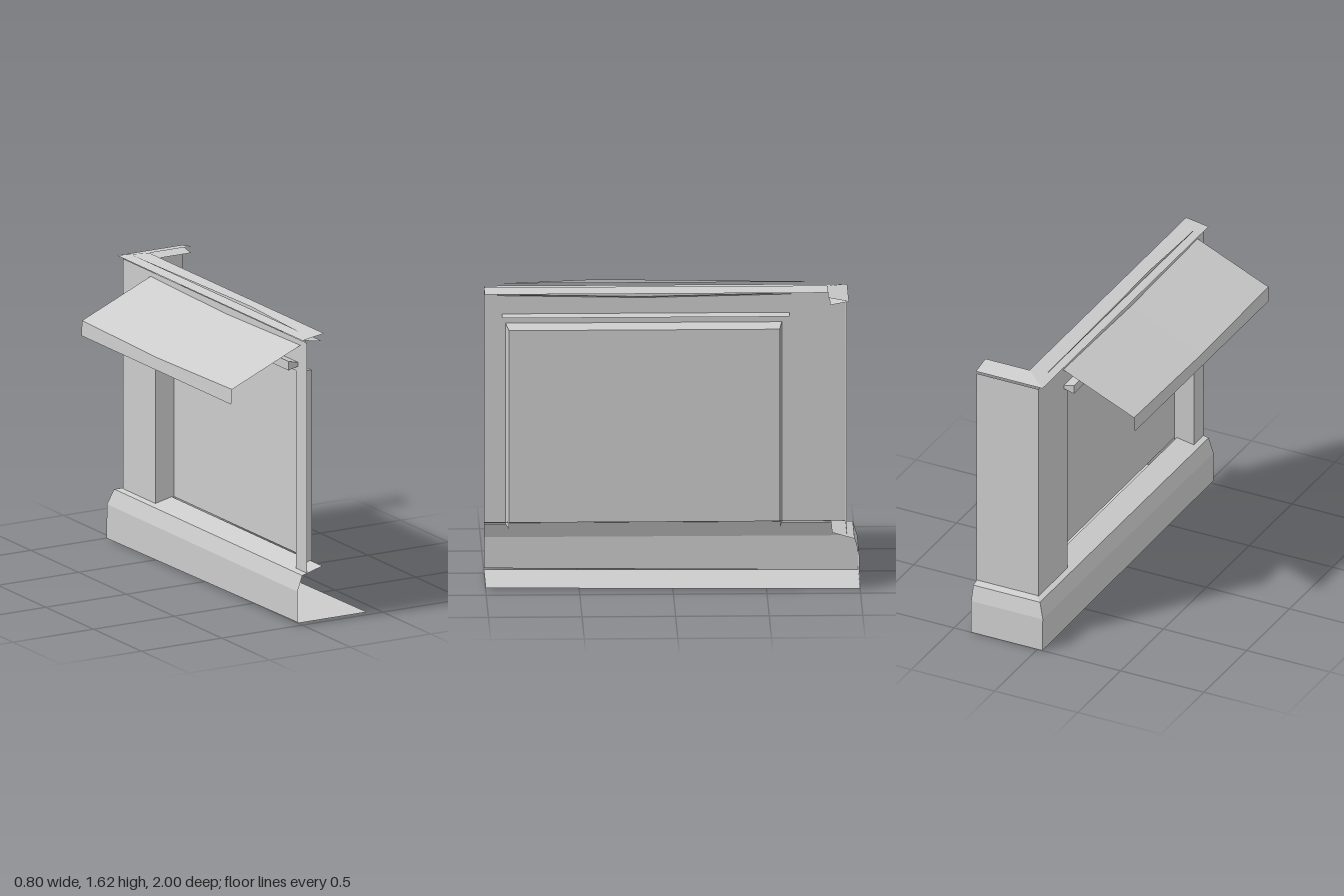
import * as THREE from 'three';

const material = new THREE.MeshStandardMaterial({ color: 0xcccccc, flatShading: true, side: THREE.DoubleSide });

// Sheet of quads through rows of points
function sheet(name, rows) {
  const pos = [];
  for (let i = 0; i < rows.length - 1; i++) {
    for (let j = 0; j < rows[i].length - 1; j++) {
      const a = rows[i][j], b = rows[i][j + 1], c = rows[i + 1][j + 1], d = rows[i + 1][j];
      pos.push(...a, ...c, ...b, ...a, ...d, ...c);
    }
  }
  const geo = new THREE.BufferGeometry();
  geo.setAttribute('position', new THREE.Float32BufferAttribute(pos, 3));
  geo.computeVertexNormals();
  const mesh = new THREE.Mesh(geo, material);
  mesh.name = name;
  return mesh;
}

// Profile of [x, z, y, front lift] swept along the side and round the rear corner
function cornerSweep(name, profile) {
  return sheet(name, profile.map(([x, z, y, lift = 0]) => [[x, y + lift, 1], [x, y, z], [0.4, y, z]]));
}

// Outline of [z, y] standing on the plane at x, facing -x
function sidePlane(name, points, x) {
  const shape = new THREE.Shape(points.map(([z, y]) => new THREE.Vector2(z, y)));
  const geo = new THREE.ShapeGeometry(shape);
  geo.rotateY(-Math.PI / 2);
  const mesh = new THREE.Mesh(geo, material);
  mesh.name = name;
  mesh.position.x = x;
  return mesh;
}

export function createModel() {
  const group = new THREE.Group();
  group.name = 'shopfrontCorner';

  // Floor, slightly raised at the front
  group.add(sheet('floor', [
    [[-0.02, 0.015, 1], [-0.03, 0, -1]],
    [[0.4, 0.015, 1], [0.4, 0, -1]],
  ]));

  // Plinth with a chamfer and a sloping ledge
  group.add(cornerSweep('plinth', [
    [-0.03, -1, 0, 0.02],
    [-0.03, -0.995, 0.19],
    [0, -0.97, 0.275],
    [0.125, -0.85, 0.31],
  ]));

  // Side wall around the window opening, and rear wall
  const z0 = -0.59, z1 = 0.885, top = 1.38, base = 0.275;
  group.add(sidePlane('sideWall', [
    [1, base], [1, 1.56], [-0.93, 1.56], [-0.93, base],
    [z0, base], [z0, top], [z1, top], [z1, base],
  ], 0.03));
  group.add(sheet('rearWall', [
    [[0.03, base, -0.93], [0.4, base, -0.93]],
    [[0.03, 1.56, -0.93], [0.4, 1.56, -0.93]],
  ]));

  // Window reveal, narrowing towards the pane
  const p0 = -0.577, p1 = 0.87, pTop = 1.365;
  group.add(sheet('windowReveal', [
    [[0.03, base, z0], [0.03, top, z0], [0.03, top, z1], [0.03, base, z1]],
    [[0.137, base, p0], [0.137, pTop, p0], [0.137, pTop, p1], [0.137, base, p1]],
  ]));
  group.add(sidePlane('windowPane', [[p0, 0.31], [p1, 0.31], [p1, pTop], [p0, pTop]], 0.137));

  // Cornice: two sheets meeting at the outer edge
  group.add(cornerSweep('cornice', [
    [0.12, -0.84, 1.56],
    [0, -0.94, 1.579],
    [0.135, -0.83, 1.6],
  ]));
  group.add(sidePlane('roofFin', [[0.92, 1.6], [0.4, 1.62], [-0.88, 1.6]], 0.035));

  // Wedge-shaped bar above the window
  const wedge = new THREE.Shape([[-0.03, 1.395], [0.08, 1.42], [-0.03, 1.445]].map(p => new THREE.Vector2(...p)));
  const bar = new THREE.Mesh(new THREE.ExtrudeGeometry(wedge, { depth: 1.535, bevelEnabled: false }), material);
  bar.name = 'windowBar';
  bar.position.z = -0.63;
  group.add(bar);

  // Awning sagging in the middle, with a hanging valance
  const span = [[0.93, 0], [0.15, -0.015], [-0.64, 0]];
  group.add(sheet('awning', [[-0.4, 1.265], [-0.395, 1.348], [0.065, 1.547]].map(
    ([x, y], i) => span.map(([z, sag]) => [x, y + (i ? sag : 0), z]))));

  return group;
}
